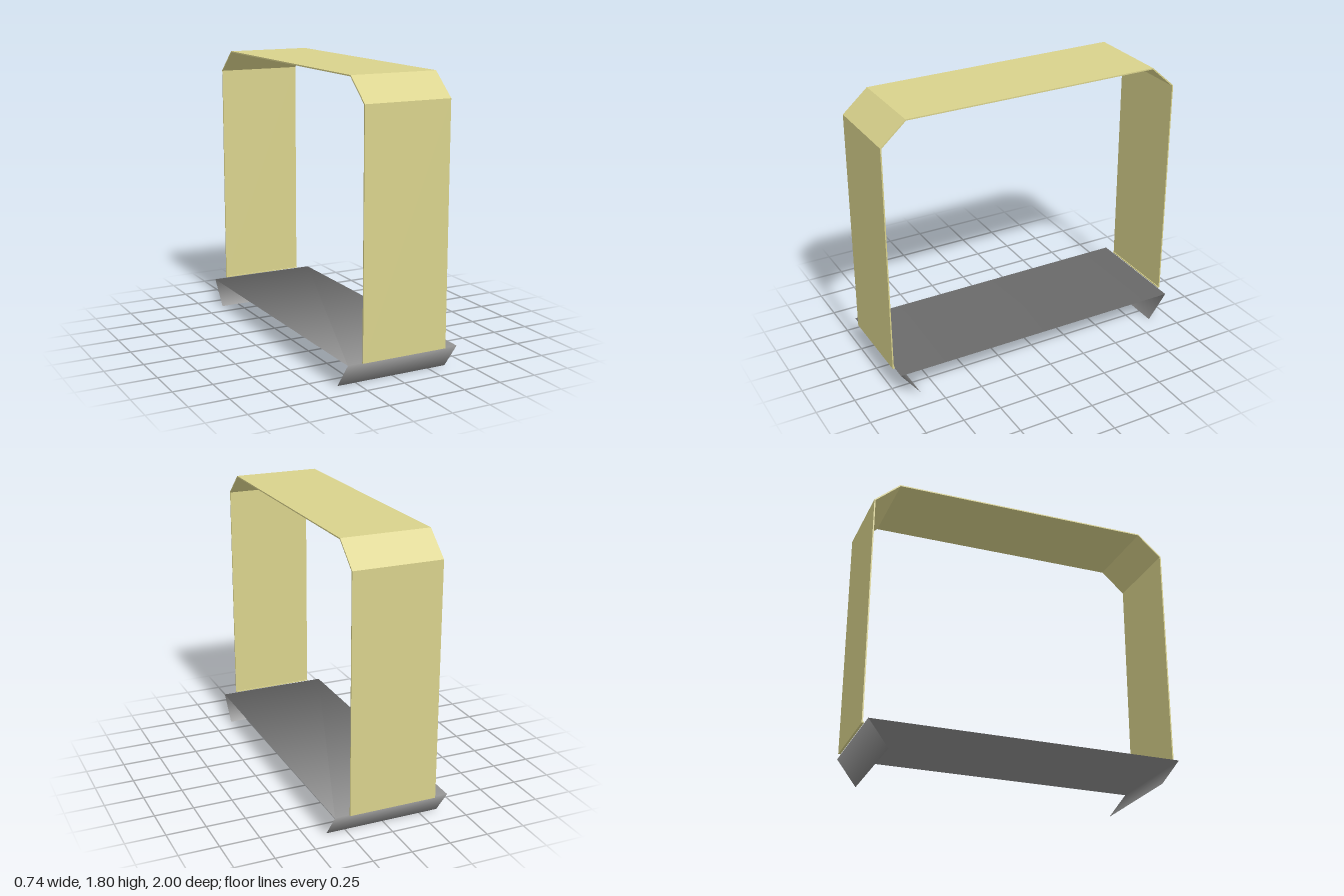
import * as THREE from 'three';

const BAND_WIDTH = 0.56;
const BASE_WIDTH = 0.74;

// Half profile (z, y) mirrored into a full outline
const mirrored = (half) => [...half, ...half.map(([z, y]) => [-z, y]).reverse()];

// Thin chamfered strap standing on the base, with small lips turned in at the feet
function createBand() {
  const outer = mirrored([[1, 0.167], [1, 1.655], [0.838, 1.798]]);
  const inner = mirrored([[0.986, 0.167], [0.986, 0.174], [0.992, 0.174], [0.992, 1.651], [0.835, 1.79]]);
  const shape = new THREE.Shape([...outer, ...inner.reverse()].map(([z, y]) => new THREE.Vector2(z, y)));
  const geometry = new THREE.ExtrudeGeometry(shape, { depth: BAND_WIDTH, bevelEnabled: false });
  geometry.translate(0, 0, -BAND_WIDTH / 2).rotateY(-Math.PI / 2);
  const band = new THREE.Mesh(geometry, new THREE.MeshStandardMaterial({ color: 0xd9d28c }));
  band.name = 'archBand';
  return band;
}

// Single folded sheet: flat platform with a flap tucked inward under each end
function createBase() {
  // z, y, then the blended normal (z, y) of each fold line
  const rows = [
    [0.86, 0, 0.79, -0.61],
    [0.985, 0.165, 0.89, 0.45],
    [-0.985, 0.165, -0.89, 0.45],
    [-0.86, 0, -0.79, -0.61],
  ];
  const positions = [], normals = [], indices = [];
  rows.forEach(([z, y, nz, ny], i) => {
    for (const side of [-1, 1]) {
      positions.push(side * BASE_WIDTH / 2, y, z);
      normals.push(0, ny, nz);
    }
    if (i > 0) {
      const a = 2 * (i - 1);
      indices.push(a, a + 1, a + 3, a, a + 3, a + 2);
    }
  });
  const geometry = new THREE.BufferGeometry();
  geometry.setAttribute('position', new THREE.Float32BufferAttribute(positions, 3));
  geometry.setAttribute('normal', new THREE.Float32BufferAttribute(normals, 3));
  geometry.setIndex(indices);
  const base = new THREE.Mesh(geometry, new THREE.MeshStandardMaterial({ color: 0x808080, side: THREE.DoubleSide }));
  base.name = 'foldedBase';
  return base;
}

export function createModel() {
  const model = new THREE.Group();
  model.name = 'bandArchOnBase';
  model.add(createBand(), createBase());
  return model;
}
